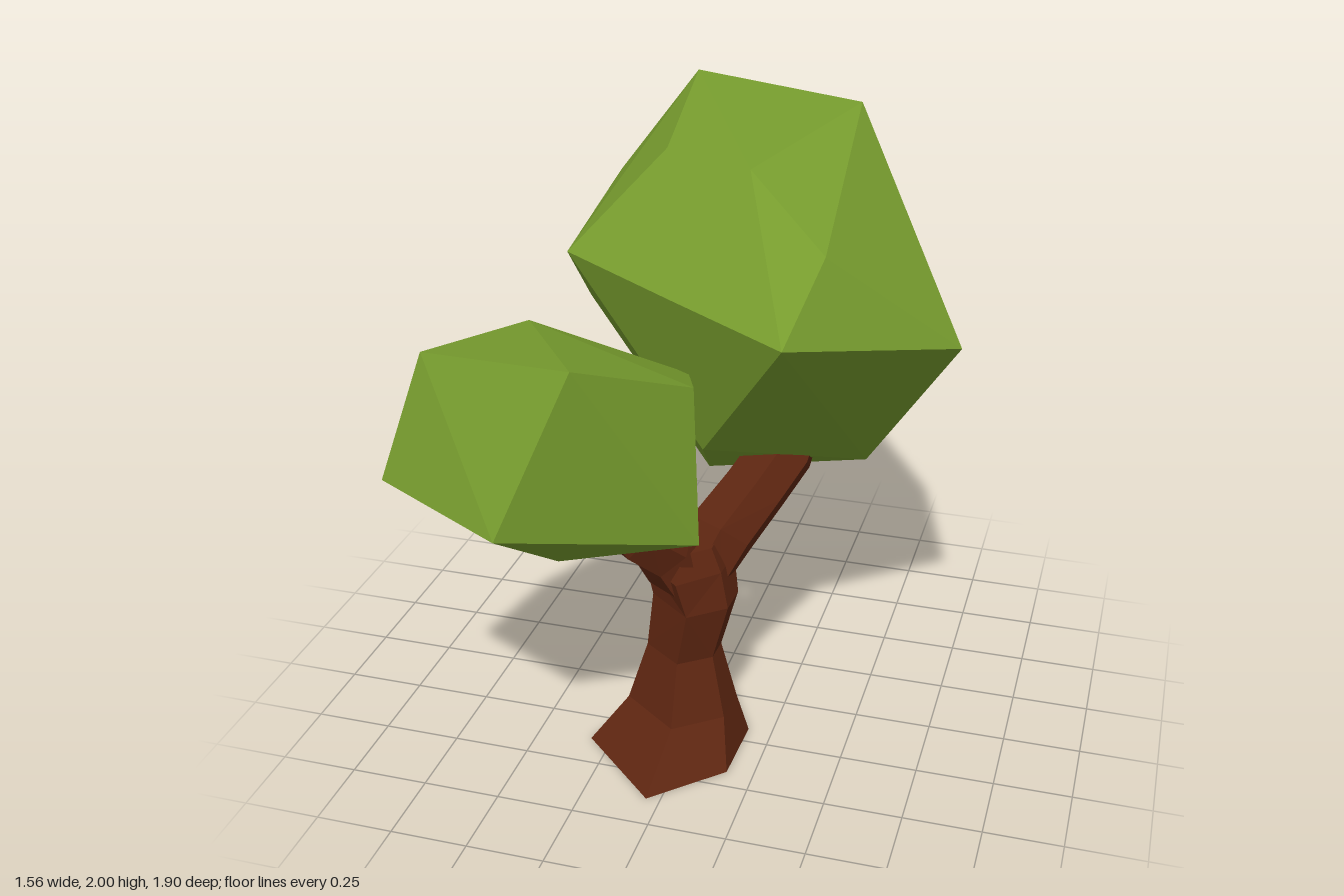
import * as THREE from 'three';
import { ConvexGeometry } from 'three/addons/geometries/ConvexGeometry.js';

const leafMaterial = new THREE.MeshStandardMaterial({ color: 0x779c2e, flatShading: true });
const barkMaterial = new THREE.MeshStandardMaterial({ color: 0x5e2611, flatShading: true });

// Irregular six-sided outline of the trunk, scaled to a unit circle
const OUTLINE = [[0.12, 1], [0.97, 0.3], [1, -0.55], [0.3, -1], [-0.5, -0.9], [-1, 0.12]];
const UP = new THREE.Vector3(0, 1, 0);

// One cross-section: centre, half sizes, and the direction the wood grows in
function ring([x, y, z], rx, rz, dir = [0, 1, 0]) {
  const q = new THREE.Quaternion().setFromUnitVectors(UP, new THREE.Vector3(...dir).normalize());
  return OUTLINE.map(([a, b]) =>
    new THREE.Vector3(a * rx, 0, b * rz).applyQuaternion(q).add(new THREE.Vector3(x, y, z)));
}

// Skin a stack of cross-sections and close both ends
function loft(name, rings) {
  const n = OUTLINE.length;
  const points = [];
  const tri = (a, b, c) => points.push(a, b, c);
  for (let j = 0; j < rings.length - 1; j++) {
    for (let i = 0; i < n; i++) {
      const k = (i + 1) % n;
      const a = rings[j][i], b = rings[j][k], c = rings[j + 1][k], d = rings[j + 1][i];
      if ((i + j) % 2) { tri(a, b, c); tri(a, c, d); } else { tri(a, b, d); tri(b, c, d); }
    }
  }
  const first = rings[0], last = rings[rings.length - 1];
  for (let i = 1; i < n - 1; i++) {
    tri(first[0], first[i + 1], first[i]);
    tri(last[0], last[i], last[i + 1]);
  }
  const geometry = new THREE.BufferGeometry().setFromPoints(points);
  geometry.computeVertexNormals();
  const mesh = new THREE.Mesh(geometry, barkMaterial);
  mesh.name = name;
  return mesh;
}

// Faceted clump of leaves: the hull around its corner points
function crown(name, corners) {
  const mesh = new THREE.Mesh(
    new ConvexGeometry(corners.map((p) => new THREE.Vector3(...p))), leafMaterial);
  mesh.name = name;
  return mesh;
}

export function createModel() {
  const tree = new THREE.Group();
  tree.name = 'tree';

  // Trunk: flared foot, narrow waist, widening at the fork
  tree.add(loft('trunk', [
    ring([-0.075, 0, 0.34], 0.245, 0.29),
    ring([-0.04, 0.14, 0.28], 0.17, 0.16),
    ring([-0.035, 0.34, 0.26], 0.115, 0.105),
    ring([0.0, 0.53, 0.25], 0.13, 0.13),
    ring([-0.03, 0.65, 0.23], 0.135, 0.165),
    ring([-0.02, 0.73, 0.24], 0.09, 0.1),
  ]));

  // Branch rising backwards into the large crown
  tree.add(loft('backBranch', [
    ring([0.0, 0.6, 0.22], 0.1, 0.1, [0.3, 1, -0.3]),
    ring([0.06, 0.72, 0.14], 0.105, 0.1, [0.4, 0.9, -0.7]),
    ring([0.14, 0.83, 0.02], 0.1, 0.085, [0.4, 0.8, -0.8]),
    ring([0.2, 0.92, -0.08], 0.1, 0.085, [0.3, 0.8, -0.7]),
    ring([0.24, 1.03, -0.16], 0.08, 0.07, [0.3, 0.9, -0.6]),
  ]));

  // Branch rising forwards into the small crown
  tree.add(loft('frontBranch', [
    ring([-0.04, 0.6, 0.27], 0.1, 0.09, [-0.2, 1, 0.2]),
    ring([-0.08, 0.71, 0.32], 0.095, 0.085, [-0.4, 0.9, 0.5]),
    ring([-0.15, 0.83, 0.43], 0.085, 0.085, [-0.4, 0.8, 0.6]),
    ring([-0.2, 0.95, 0.5], 0.07, 0.07, [-0.3, 0.9, 0.4]),
  ]));

  tree.add(crown('largeCrown', [
    // top
    [0.36, 2, -0.42], [-0.26, 1.99, -0.71], [-0.18, 1.9, -0.1], [0.14, 1.92, 0.11],
    // shoulders
    [0.41, 1.74, 0.29], [0.34, 1.53, 0.51], [-0.04, 1.57, 0.32], [-0.44, 1.61, 0.11],
    [-0.49, 1.67, -0.56], [-0.15, 1.53, -0.94], [0.24, 1.73, -0.94], [0.78, 1.4, 0.04],
    // underside
    [-0.56, 1.26, -0.41], [0.57, 1.07, -0.81], [0, 0.89, -0.955],
    [0.46, 0.87, -0.2], [-0.12, 0.69, -0.35], [0.01, 1.02, 0.17],
  ]));

  tree.add(crown('smallCrown', [
    // top
    [-0.66, 1.5, 0.72], [-0.18, 1.53, 0.8], [0.09, 1.4, 0.53], [-0.49, 1.46, 0.32], [-0.02, 1.3, 0.22],
    // rim
    [-0.78, 1.11, 0.79], [-0.37, 1.05, 0.95], [-0.69, 1.09, 0.37],
    // underside
    [0.11, 0.9, 0.55], [-0.35, 0.755, 0.52], [-0.44, 0.93, 0.18], [-0.02, 0.92, 0.18],
  ]));

  return tree;
}
